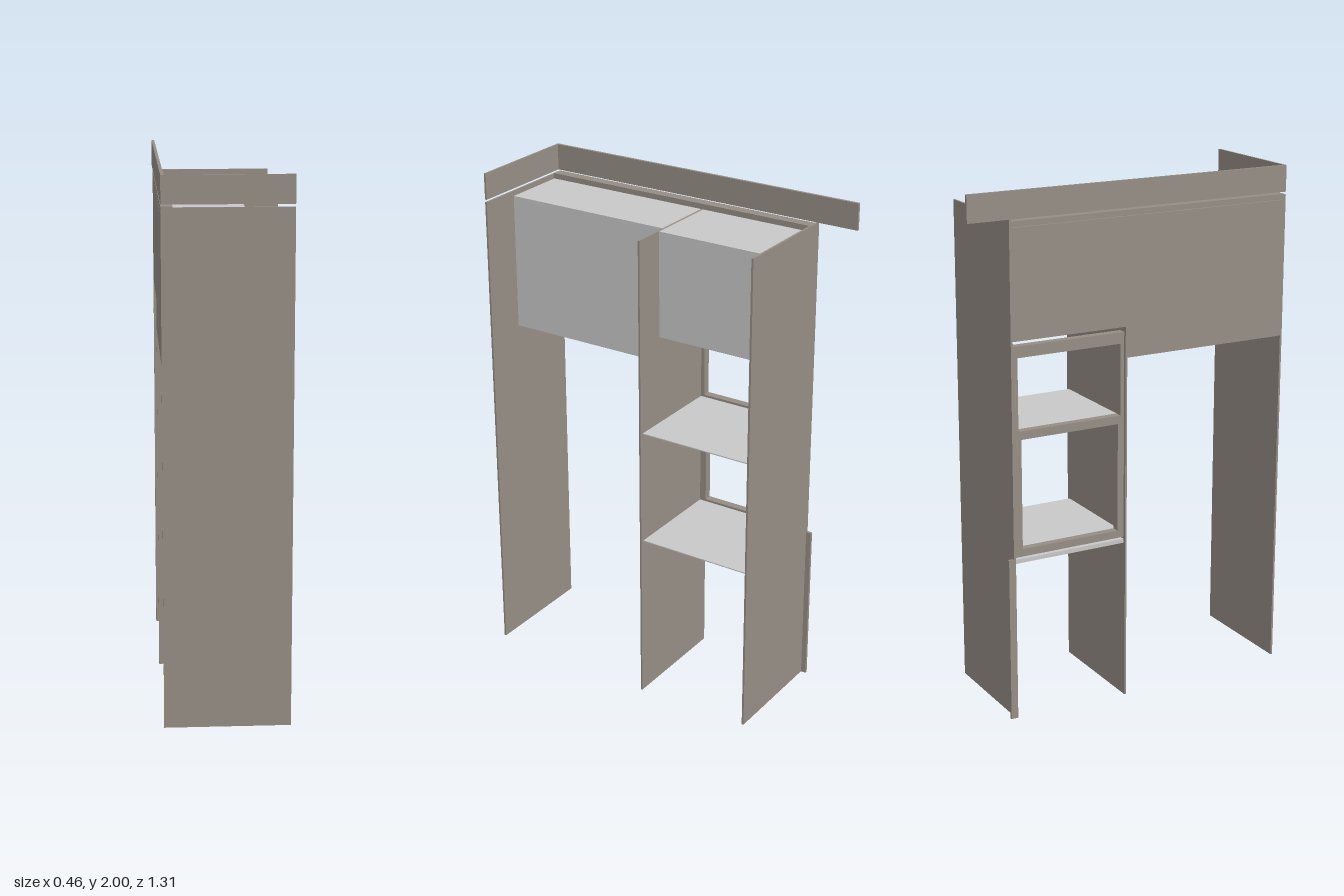
import * as THREE from 'three';

const wood = new THREE.MeshStandardMaterial({ color: 0x968e85 });
wood.name = 'taupe wood';
const grey = new THREE.MeshStandardMaterial({ color: 0xc8c8c8 });
grey.name = 'light grey';

export function createModel() {
  const model = new THREE.Group();
  model.name = 'tallCabinet';

  // Box given by its limits along each axis
  const box = (name, material, [x0, x1], [y0, y1], [z0, z1]) => {
    const mesh = new THREE.Mesh(new THREE.BoxGeometry(x1 - x0, y1 - y0, z1 - z0), material);
    mesh.position.set((x0 + x1) / 2, (y0 + y1) / 2, (z0 + z1) / 2);
    mesh.name = name;
    model.add(mesh);
  };

  // Rectangular frame standing in the yz plane with one opening
  const frame = (name, [x0, x1], [y0, y1], [z0, z1], [oy0, oy1], [oz0, oz1]) => {
    const rect = (path, a, b, c, d) =>
      path.moveTo(-b, c).lineTo(-a, c).lineTo(-a, d).lineTo(-b, d).closePath();
    const shape = rect(new THREE.Shape(), z0, z1, y0, y1);
    shape.holes.push(rect(new THREE.Path(), oz0, oz1, oy0, oy1));
    const geometry = new THREE.ExtrudeGeometry(shape, { depth: x1 - x0, bevelEnabled: false });
    geometry.rotateY(Math.PI / 2).translate(x0, 0, 0);
    const mesh = new THREE.Mesh(geometry, wood);
    mesh.name = name;
    model.add(mesh);
  };

  const depth = [-0.229, 0.228];
  const skin = [-0.229, -0.218];
  const inner = [-0.218, -0.188];
  const wide = [-0.024, 0.648];
  const narrow = [-0.489, -0.031];

  // Upright panels
  box('endPanel', wood, depth, [0.02, 1.89], [0.648, 0.656]);
  box('middlePanel', wood, depth, [0, 1.872], [-0.031, -0.024]);
  box('farPanel', wood, depth, [0.01, 1.9], [-0.497, -0.489]);

  // Top fascia with its return, and the rail under it
  box('fascia', wood, skin, [1.9, 2], [-0.656, 0.656]);
  box('fasciaReturn', wood, [-0.218, 0.228], [1.9, 2], [0.648, 0.656]);
  box('topRail', wood, [-0.229, -0.188], [1.872, 1.893], [-0.489, 0.648]);

  // Wall boxes and their doors
  box('wideCupboard', grey, [-0.218, 0.067], [1.347, 1.871], wide);
  box('narrowCupboard', grey, [-0.218, 0.102], [1.464, 1.871], narrow);
  box('wideDoor', wood, skin, [1.347, 1.87], wide);
  box('narrowDoor', wood, skin, [1.464, 1.87], narrow);

  // Appliance frames
  frame('upperFrame', inner, [1.111, 1.42], narrow, [1.127, 1.4], [-0.466, -0.046]);
  frame('lowerFrame', inner, [0.647, 1.111], narrow, [0.676, 1.095], [-0.455, -0.057]);
  box('frameCap', wood, inner, [1.42, 1.443], narrow);

  // Shelves behind the frames and the ledge below them
  for (const y of [1.118, 0.667]) {
    box('shelf', grey, [-0.188, 0.214], [y - 0.004, y], narrow);
  }
  box('ledge', grey, inner, [0.623, 0.639], narrow);

  // Lower filler post
  box('fillerPost', wood, skin, [0.01, 0.645], [-0.517, -0.497]);

  return model;
}
